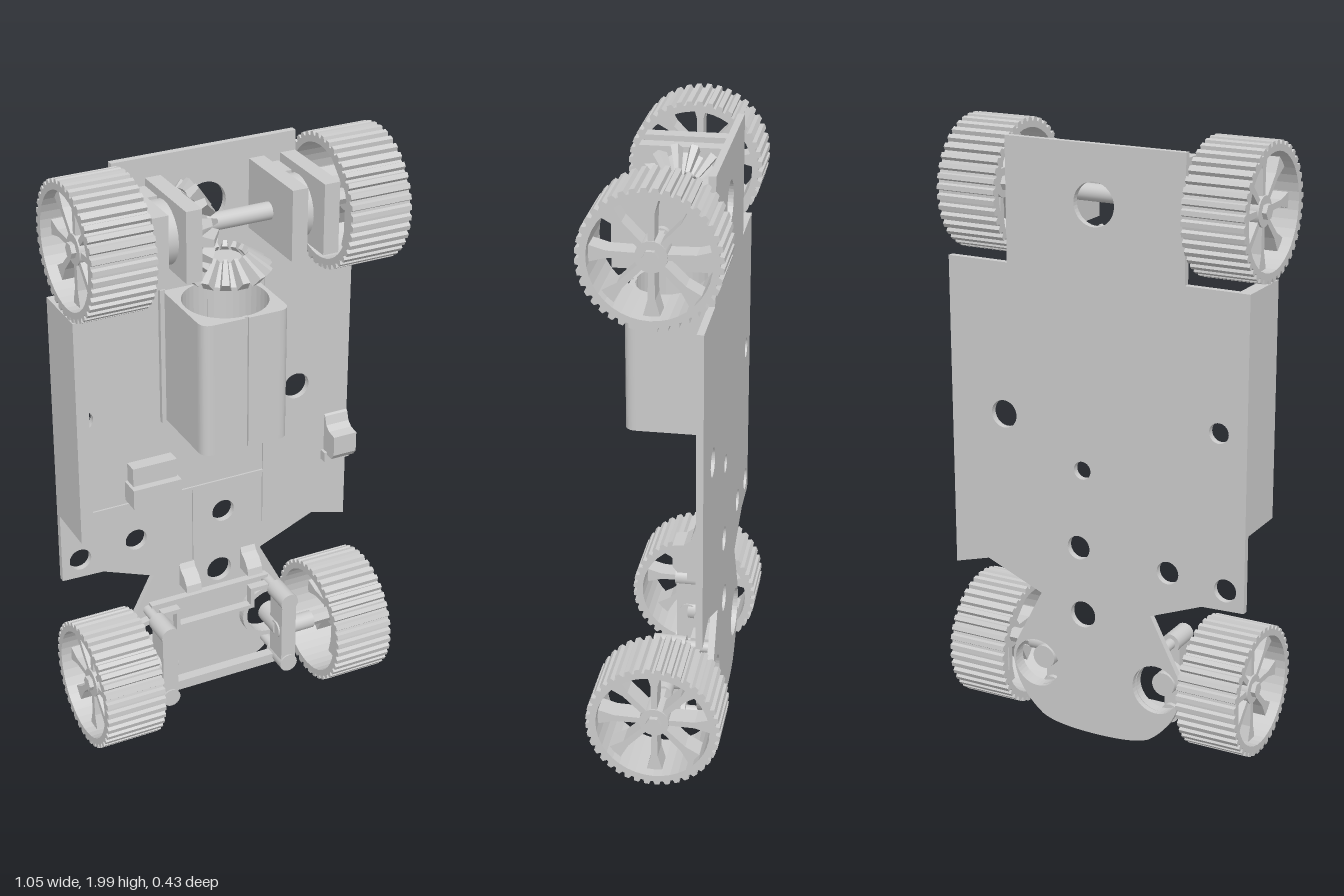
import * as THREE from 'three';

const mat = new THREE.MeshStandardMaterial({ color: 0xcccccc, flatShading: true, side: THREE.DoubleSide });
const smooth = new THREE.MeshStandardMaterial({ color: 0xcccccc });

export function createModel() {
  const root = new THREE.Group();

  const add = (name, geo, parent = root, m = mat) => {
    const mesh = new THREE.Mesh(geo, m);
    mesh.name = name;
    parent.add(mesh);
    return mesh;
  };
  // box from its minimum and maximum corners
  const box = (name, x0, x1, y0, y1, z0, z1, parent) =>
    add(name, new THREE.BoxGeometry(x1 - x0, y1 - y0, z1 - z0)
      .translate((x0 + x1) / 2, (y0 + y1) / 2, (z0 + z1) / 2), parent);
  const rod = (name, r, x0, x1, y, parent) =>
    add(name, new THREE.CylinderGeometry(r, r, x1 - x0, 24).rotateZ(Math.PI / 2)
      .translate((x0 + x1) / 2, y, 0), parent, smooth);
  const post = (name, r, x, y, z0, z1) =>
    add(name, new THREE.CylinderGeometry(r, r, z1 - z0, 20).rotateX(Math.PI / 2)
      .translate(x, y, (z0 + z1) / 2), root, smooth);
  const extrude = (shape, depth) =>
    new THREE.ExtrudeGeometry(shape, { depth, bevelEnabled: false, curveSegments: 20 });
  const circle = (x, y, r) => new THREE.Path().absarc(x, y, r, 0, Math.PI * 2, true);
  // profile of [z, y] points swept along x
  const sweepX = (name, pts, x0, x1) =>
    add(name, extrude(new THREE.Shape(pts.map(([z, y]) => new THREE.Vector2(-z, y))), x1 - x0)
      .rotateY(Math.PI / 2).translate(x0, 0, 0));

  // Chassis plate with its round openings
  const s = new THREE.Shape();
  s.moveTo(-0.31, 1.97);
  [[-0.31, 1.57], [-0.525, 1.57], [-0.525, 0.55], [-0.38, 0.545], [-0.2, 0.475], [-0.3, 0.28]]
    .forEach(p => s.lineTo(...p));
  s.bezierCurveTo(-0.33, 0.18, -0.27, 0.09, -0.2, 0.04);
  s.quadraticCurveTo(-0.15, 0.01, 0, 0.01);
  s.quadraticCurveTo(0.15, 0.01, 0.2, 0.04);
  s.bezierCurveTo(0.27, 0.09, 0.33, 0.18, 0.3, 0.28);
  [[0.2, 0.475], [0.4, 0.56], [0.525, 0.525], [0.525, 1.57], [0.31, 1.57], [0.31, 1.97]]
    .forEach(p => s.lineTo(...p));
  [[-0.43, 1.125, 0.033], [0.33, 1.07, 0.046], [0.045, 0.925, 0.03], [-0.46, 0.615, 0.038],
    [-0.26, 0.635, 0.038], [0.06, 0.66, 0.04], [0.045, 0.43, 0.045], [0, 1.785, 0.07],
    [-0.22, 0.22, 0.083], [0.22, 0.22, 0.083]].forEach(h => s.holes.push(circle(...h)));
  add('chassisPlate', extrude(s, 0.022).translate(0, 0, -0.158));

  // Side wall and low ribs on the plate
  box('sideWall', -0.525, -0.483, 0.8, 1.57, -0.15, 0.045);
  box('plateRib', 0.205, 0.215, 0.58, 1.55, -0.138, -0.13);
  box('plateRib', -0.48, 0.21, 0.775, 0.785, -0.138, -0.13);
  box('plateRib', -0.055, -0.045, 0.5, 0.78, -0.138, -0.13);

  // Motor cradle: two halves around a round bore, with a floor
  for (const side of [-1, 1]) {
    const c = new THREE.Shape();
    c.moveTo(side * 0.006, -0.15);
    c.lineTo(side * 0.11, -0.15);
    c.quadraticCurveTo(side * 0.15, -0.15, side * 0.15, -0.11);
    c.lineTo(side * 0.15, 0.14);
    c.lineTo(side * 0.006, 0.14);
    c.lineTo(side * 0.006, 0.135);
    for (let i = 1; i < 20; i++) {
      const a = i / 20 * Math.PI;
      c.lineTo(side * (0.006 + 0.13 * Math.sin(a)), 0.135 * Math.cos(a));
    }
    c.lineTo(side * 0.006, -0.135);
    add('motorCradleHalf', extrude(c, 0.45).rotateX(-Math.PI / 2).translate(0, 1.07, 0));
    box('cradleFoot', side < 0 ? -0.165 : 0.148, side < 0 ? -0.148 : 0.165, 1.06, 1.53, -0.138, -0.12);
  }
  box('motorCradleFloor', -0.14, 0.14, 1.07, 1.09, -0.14, 0.14);
  box('cradleSeam', -0.008, 0.008, 1.07, 1.52, 0.132, 0.142);

  // Wheels: toothed tread, flared spokes and hub
  const TEETH = 40;
  const tread = new THREE.Shape();
  for (let i = 0; i < TEETH; i++) {
    [[0.05, 0.202], [0.2, 0.215], [0.65, 0.215], [0.8, 0.202]].forEach(([f, r], k) => {
      const a = (i + f) / TEETH * Math.PI * 2;
      tread[i + k ? 'lineTo' : 'moveTo'](r * Math.cos(a), r * Math.sin(a));
    });
  }
  tread.holes.push(circle(0, 0, 0.182));
  const treadGeo = extrude(tread, 0.205).rotateY(Math.PI / 2).translate(0.32, 0, 0);
  const spoke = new THREE.Shape([[-0.009, 0.04], [0.009, 0.04], [0.011, 0.13], [0.026, 0.184],
    [-0.026, 0.184], [-0.011, 0.13]].map(p => new THREE.Vector2(...p)));
  const spokeGeo = extrude(spoke, 0.07).rotateY(Math.PI / 2).translate(0.42, 0, 0);
  for (const y of [1.785, 0.22]) for (const side of [-1, 1]) {
    const wheel = new THREE.Group();
    wheel.name = y > 1 ? 'rearWheel' : 'frontWheel';
    add('tread', treadGeo, wheel);
    for (let i = 0; i < 8; i++) add('spoke', spokeGeo, wheel).rotation.x = i * Math.PI / 4;
    rod('hub', 0.048, 0.41, 0.495, 0, wheel);
    add('axleEnd', new THREE.CylinderGeometry(0.025, 0.025, 0.2, 6).rotateZ(Math.PI / 2)
      .translate(0.41, 0, 0), wheel);
    wheel.position.y = y;
    if (side < 0) wheel.rotation.y = Math.PI;
    root.add(wheel);
  }

  // Rear axle with its bearing stands
  rod('rearAxle', 0.028, -0.33, 0.33, 1.785);
  for (const side of [-1, 1]) {
    for (const x of [0.175, 0.283])
      box('axleStand', side * x - 0.026, side * x + 0.026, 1.675, 1.905, -0.14, 0.15);
    rod('axleBearing', 0.1, side * 0.225 - 0.024, side * 0.225 + 0.024, 1.785);
    box('bearingFoot', side * 0.225 - 0.027, side * 0.225 + 0.027, 1.69, 1.88, -0.14, -0.05);
  }

  // Bevel gears: a cone with tapered teeth around it
  const toothGeo = new THREE.BoxGeometry(0.036, 0.04, 0.09);
  const tp = toothGeo.attributes.position;
  for (let i = 0; i < tp.count; i++) {
    const k = tp.getZ(i) > 0 ? 1 : 0.5;
    const top = tp.getY(i) > 0 ? 0.65 : 1;
    tp.setXY(i, tp.getX(i) * k * top, tp.getY(i) * k);
  }
  toothGeo.rotateX(0.72).translate(0, 0.042, 0.098);
  const bevelGear = name => {
    const g = new THREE.Group();
    g.name = name;
    add('gearCone', new THREE.CylinderGeometry(0.05, 0.108, 0.055, 32).translate(0, 0.03, 0), g, smooth);
    for (let i = 0; i < 14; i++) add('gearTooth', toothGeo, g).rotation.y = i / 14 * Math.PI * 2;
    root.add(g);
    return g;
  };
  bevelGear('pinionGear').position.y = 1.605;
  const crown = bevelGear('axleGear');
  crown.rotation.z = -Math.PI / 2;
  crown.position.set(-0.135, 1.785, 0);

  // Front steering knuckles, pivots and stub axles
  for (const side of [-1, 1]) {
    const x = side * 0.223;
    box('knuckle', x - 0.027, x + 0.027, 0.1, 0.34, -0.045, 0.04);
    for (const y of [0.095, 0.345]) {
      post('pivot', 0.032, x, y, -0.06, 0.045);
      post('pivotPin', 0.018, x, y, -0.14, -0.06);
    }
    rod('stubAxle', 0.03, side < 0 ? -0.33 : 0.19, side < 0 ? -0.19 : 0.33, 0.22);
    const ring = new THREE.Shape().absarc(x, 0.22, 0.1, 0, Math.PI * 2);
    ring.holes.push(circle(x, 0.22, 0.083));
    add('openingRim', extrude(ring, 0.03).translate(0, 0, -0.138));
    post('kingPin', 0.04, x, 0.22, -0.11, 0);
    // arms of the steering link
    box('linkArm', side * 0.17 - 0.03, side * 0.17 + 0.03, 0.345, 0.36, -0.1, -0.07);
    box('linkArm', side * 0.14 - 0.007, side * 0.14 + 0.007, 0.28, 0.36, -0.1, -0.07);
  }
  box('steeringLink', -0.14, 0.14, 0.28, 0.294, -0.1, -0.07);
  box('crossBar', -0.2, 0.2, 0.07, 0.105, -0.05, -0.015);
  box('frontRail', -0.22, 0.22, 0.36, 0.372, -0.138, -0.11);

  // Curved gussets and clips standing on the plate
  const gusset = [[-0.14, 0.41], [-0.075, 0.41], [-0.08, 0.435], [-0.1, 0.46], [-0.125, 0.475], [-0.14, 0.5]];
  sweepX('gusset', gusset, -0.105, -0.05);
  sweepX('gusset', gusset, 0.125, 0.18);
  const clip = [[-0.14, 0.79], [-0.08, 0.79], [-0.065, 0.81], [-0.065, 0.88], [-0.1, 0.885],
    [-0.12, 0.9], [-0.13, 0.93], [-0.14, 0.94]];
  sweepX('sideClip', clip, 0.44, 0.525);
  box('sideClipFoot', 0.43, 0.525, 0.765, 0.8, -0.14, -0.11);
  box('switchBody', -0.285, -0.13, 0.86, 0.935, -0.14, -0.09);
  box('switchBase', -0.295, -0.125, 0.8, 0.87, -0.14, -0.065);

  return root;
}
